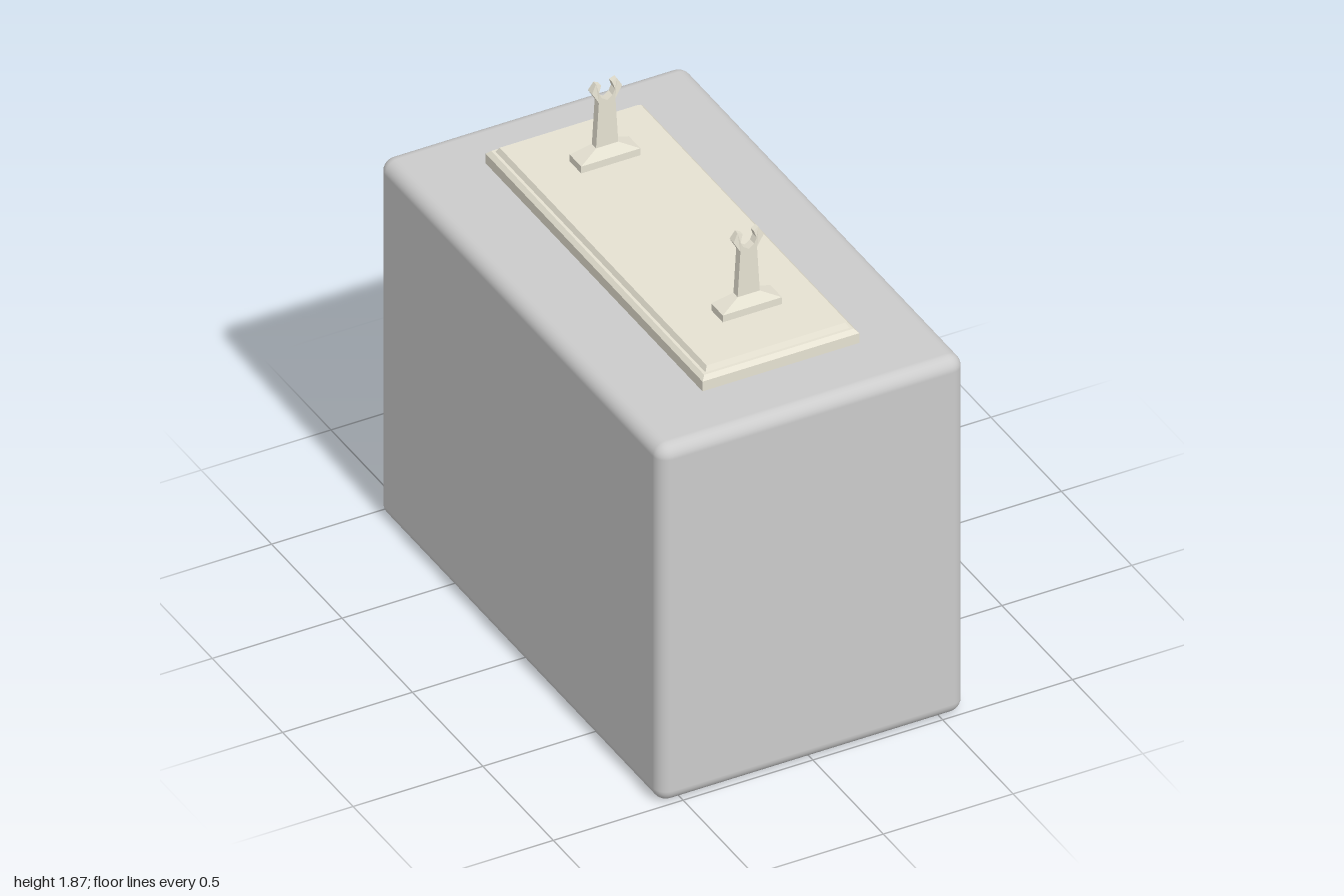
import * as THREE from 'three';
import { RoundedBoxGeometry } from 'three/addons/geometries/RoundedBoxGeometry.js';

const grey = new THREE.MeshStandardMaterial({ color: 0xcccccc });
const cream = new THREE.MeshStandardMaterial({ color: 0xe6e2d2, flatShading: true });

// Stacked rectangles [y, halfWidth, halfDepth], joined bottom to top and capped
function steppedBlock(levels) {
  const corners = [[1, 1], [1, -1], [-1, -1], [-1, 1]];
  const pos = [], index = [];
  for (const [y, w, d] of levels) {
    for (const [sx, sz] of corners) pos.push(sx * w, y, sz * d);
  }
  for (let l = 0; l < levels.length - 1; l++) {
    for (let i = 0; i < 4; i++) {
      const a = l * 4 + i, b = l * 4 + (i + 1) % 4;
      index.push(a, b, b + 4, a, b + 4, a + 4);
    }
  }
  const t = (levels.length - 1) * 4;
  index.push(0, 2, 1, 0, 3, 2, t, t + 1, t + 2, t, t + 2, t + 3);
  const geo = new THREE.BufferGeometry();
  geo.setAttribute('position', new THREE.Float32BufferAttribute(pos, 3));
  geo.setIndex(index);
  const flat = geo.toNonIndexed();
  flat.computeVertexNormals();
  return flat;
}

// Tapered stem with an open claw, thinner towards the tips
function forkGeometry() {
  const half = [
    [0.043, 1.6], [0.032, 1.788], [0.058, 1.833], [0.04, 1.865],
    [0.021, 1.855], [0.031, 1.826], [0.021, 1.805],
  ];
  const right = half.map(([x, y]) => new THREE.Vector2(x, y));
  const left = half.map(([x, y]) => new THREE.Vector2(-x, y)).reverse();
  const shape = new THREE.Shape([...right, new THREE.Vector2(0, 1.79), ...left]);
  const geo = new THREE.ExtrudeGeometry(shape, { depth: 0.03, bevelEnabled: false });
  geo.translate(0, 0, -0.015);
  const p = geo.attributes.position;
  for (let i = 0; i < p.count; i++) {
    const k = Math.max(0, (p.getY(i) - 1.833) / 0.032);
    p.setZ(i, p.getZ(i) * (1 - 0.4 * k));
  }
  geo.computeVertexNormals();
  return geo;
}

function part(name, geometry, material) {
  const mesh = new THREE.Mesh(geometry, material);
  mesh.name = name;
  return mesh;
}

export function createModel() {
  const model = new THREE.Group();
  model.name = 'displayPedestal';

  // Rounded main block
  const body = part('body', new RoundedBoxGeometry(1.18, 1.467, 2, 4, 0.05), grey);
  body.position.y = 0.7335;
  model.add(body);

  // Moulded base plate
  const plate = part('basePlate', steppedBlock([
    [1.46, 0.302, 0.77], [1.507, 0.302, 0.77], [1.522, 0.288, 0.756],
    [1.522, 0.277, 0.745], [1.541, 0.267, 0.735],
  ]), cream);
  plate.position.set(0.01, 0, -0.015);
  model.add(plate);

  // Two forked holders, front and back
  for (const [name, z] of [['frontHolder', 0.48], ['backHolder', -0.525]]) {
    const holder = new THREE.Group();
    holder.name = name;
    holder.add(part('foot', steppedBlock([
      [1.54, 0.114, 0.041], [1.569, 0.114, 0.041], [1.605, 0.043, 0.016],
    ]), cream));
    holder.add(part('fork', forkGeometry(), cream));
    holder.position.set(0.027, 0, z);
    model.add(holder);
  }
  return model;
}
